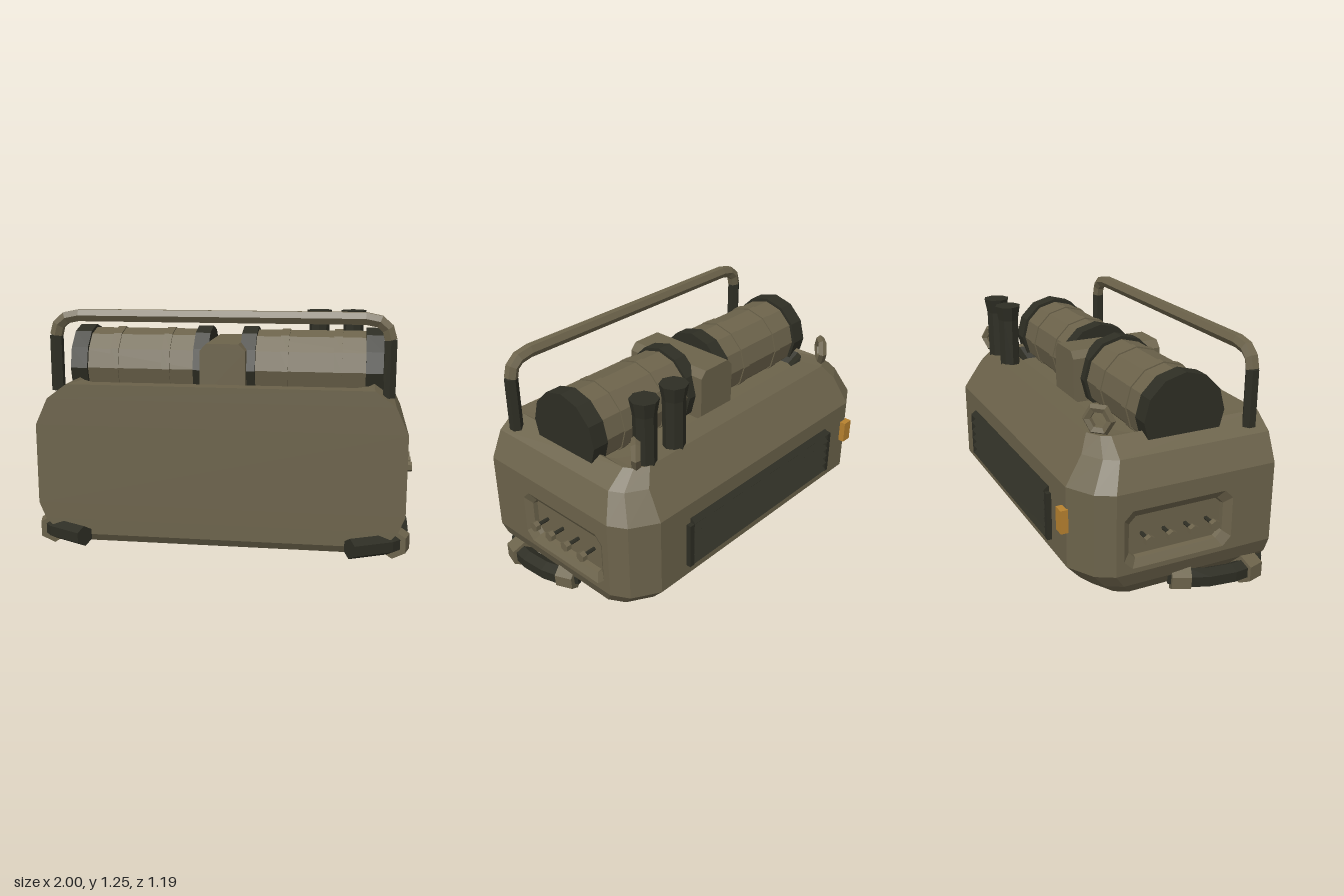
import * as THREE from 'three';

const paint = (name, color) => {
  const m = new THREE.MeshStandardMaterial({ color, flatShading: true });
  m.name = name;
  return m;
};
const V = (x, y, z) => new THREE.Vector3(x, y, z);

// Faceted skin over rings of equal point count; skip(i, j) leaves a quad open
function loft(rings, { start = true, end = true, skip = () => false } = {}) {
  const pos = [];
  const tri = (a, b, c) => {
    if (V().subVectors(b, a).cross(V().subVectors(c, a)).lengthSq() < 1e-14) return;
    for (const p of [a, b, c]) pos.push(p.x, p.y, p.z);
  };
  const n = rings[0].length, last = rings[rings.length - 1];
  for (let i = 0; i < rings.length - 1; i++) {
    for (let j = 0; j < n; j++) {
      if (skip(i, j)) continue;
      const k = (j + 1) % n, a = rings[i], b = rings[i + 1];
      tri(a[j], a[k], b[k]);
      tri(a[j], b[k], b[j]);
    }
  }
  for (let j = 1; j < n - 1; j++) {
    if (start) tri(rings[0][0], rings[0][j + 1], rings[0][j]);
    if (end) tri(last[0], last[j], last[j + 1]);
  }
  const g = new THREE.BufferGeometry();
  g.setAttribute('position', new THREE.Float32BufferAttribute(pos, 3));
  g.computeVertexNormals();
  return g;
}

// Rings of a pipe along points; ref sets where the first corner points
function pipe(points, r, ref, sides = 6) {
  return points.map((p, i) => {
    const t = V().subVectors(points[Math.min(i + 1, points.length - 1)], points[Math.max(i - 1, 0)]).normalize();
    const u = ref.clone().addScaledVector(t, -ref.dot(t)).normalize();
    const w = V().crossVectors(t, u);
    return Array.from({ length: sides }, (_, k) => {
      const a = (k / sides) * Math.PI * 2;
      return p.clone().addScaledVector(u, r * Math.cos(a)).addScaledVector(w, r * Math.sin(a));
    });
  });
}

const sided = (rings, s) => s > 0 ? rings : rings.map(r => r.map(p => V(-p.x, p.y, p.z)).reverse());

// Horizontal body outline: front corner cut fc, two-step rear corners of size k
function outline(y, hx, zf, zb, k = 1, fc = 0) {
  const half = [[hx - fc, zf], [hx, zf - fc], [hx, zb + 0.17 * k], [hx - 0.05 * k, zb + 0.08 * k], [hx - 0.185 * k, zb]];
  return [...half.map(([x, z]) => V(x, y, z)), ...half.reverse().map(([x, z]) => V(-x, y, z))];
}

// Upright octagon in the side wall
function octagon(x, z0, z1, y0, y1, c) {
  return [[z0, y0 + c], [z0, y1 - c], [z0 + c, y1], [z1 - c, y1], [z1, y1 - c], [z1, y0 + c], [z1 - c, y0], [z0 + c, y0]]
    .map(([z, y]) => V(x, y, z));
}

export function createModel() {
  const root = new THREE.Group();
  root.name = 'fieldPowerUnit';
  const olive = paint('olive drab', 0x6c634b);
  const dark = paint('dark metal', 0x2e2e24);
  const amber = paint('amber', 0xb8822f);
  const add = (name, geo, mat, x = 0, y = 0, z = 0) => {
    const m = new THREE.Mesh(geo, mat);
    m.name = name;
    m.position.set(x, y, z);
    root.add(m);
    return m;
  };

  // Chamfered housing with an open tank well on top
  const well = [outline(0.865, 0.765, 0.29, -0.29, 0.45, 0.07), outline(0.8, 0.72, 0.25, -0.25, 0.4, 0.06)];
  add('housing', loft([
    outline(0.035, 0.8, 0.43, -0.375, 0.7),
    outline(0.075, 0.845, 0.455, -0.415, 0.75),
    outline(0.155, 0.92, 0.455, -0.495, 0.9),
    outline(0.24, 0.955, 0.455, -0.57),
    outline(0.66, 0.955, 0.455, -0.57),
    outline(0.8, 0.89, 0.455, -0.48, 0.75),
    outline(0.877, 0.785, 0.455, -0.43, 0.5),
    well[0],
  ], { end: false, skip: (i, j) => i === 3 && (j === 1 || j === 7) }), olive);
  add('wellWall', loft(well, { start: false, end: false }), dark);
  add('wellFloor', loft([well[1], well[1]], { start: false }), olive);

  for (const s of [1, -1]) {
    const side = s > 0 ? 'left' : 'right';

    // Side wall with a bevelled control pocket
    add(side + 'ControlPocket', loft(sided([
      octagon(0.955, -0.4, 0.455, 0.24, 0.66, 0),
      octagon(0.955, -0.36, 0.225, 0.265, 0.565, 0.045),
      octagon(0.93, -0.325, 0.185, 0.305, 0.525, 0.035),
      octagon(0.905, -0.322, 0.182, 0.31, 0.52, 0.035),
    ], s), { start: false }), olive);

    // Row of hexagonal knobs on thin stems
    for (let i = 0; i < 4; i++) {
      const z = 0.105 - i * 0.117;
      add(side + 'Knob', new THREE.CylinderGeometry(0.027, 0.027, 0.028, 6).rotateZ(Math.PI / 2).rotateX(Math.PI / 2), olive, s * 0.986, 0.415, z);
      add(side + 'KnobStem', new THREE.CylinderGeometry(0.01, 0.01, 0.075, 6).rotateZ(Math.PI / 2), dark, s * 0.94, 0.415, z);
    }

    // Hose along the lower edge, held by two hexagonal clamps
    const up = V(0, 1, 0);
    const hose = [[0.68, 0.097, 0.552], [0.87, 0.085, 0.425], [0.92, 0.08, 0.36], [0.937, 0.085, 0.25], [0.938, 0.1, 0.1], [0.925, 0.118, 0], [0.87, 0.125, -0.07]];
    add(side + 'Hose', loft(sided(pipe(hose.map(p => V(...p)), 0.053, up), s)), dark);
    add(side + 'FrontClamp', loft(sided(pipe([V(0.897, 0.079, 0.4), V(0.922, 0.079, 0.315)], 0.079, up), s)), olive);
    add(side + 'RearClamp', loft(sided(pipe([V(0.928, 0.115, 0.015), V(0.895, 0.12, -0.075)], 0.062, up), s)), olive);

    // Tank: shell, two straps and dark end caps
    const drum = (name, x, r, w, mat) =>
      add(side + name, new THREE.CylinderGeometry(r, r, w, 12).rotateZ(Math.PI / 2), mat, s * x, 0.93, 0.015);
    drum('Tank', 0.455, 0.199, 0.66, olive);
    drum('TankStrap', 0.315, 0.206, 0.044, olive);
    drum('TankStrap', 0.595, 0.206, 0.044, olive);
    drum('TankInnerCap', 0.125, 0.216, 0.08, dark);
    drum('TankOuterCap', 0.785, 0.216, 0.09, dark);

    // Handle leg
    add(side + 'HandleLeg', loft(sided(pipe([V(0.855, 0.832, 0.36), V(0.855, 1.12, 0.36)], 0.035, V(0, 0, 1)), s)), dark);

    // Lifting ring, both turned the same way
    const ring = add(side + 'LiftingRing', new THREE.TorusGeometry(0.06, 0.023, 5, 6), olive, s * 0.737, 0.95, -0.385);
    ring.rotation.y = Math.PI / 4;

    // Exhaust stack with flared mouth
    const stack = [[0, 0.84], [0.056, 0.84], [0.058, 1.13], [0.072, 1.208], [0, 1.208]].map(p => new THREE.Vector2(...p));
    add('exhaustStack', new THREE.LatheGeometry(stack, 8), dark, 0.572 + s * 0.098, 0, -0.38);

    // Grille end bracket
    add(side + 'GrilleEnd', new THREE.BoxGeometry(0.03, 0.25, 0.03), dark, s * 0.577, 0.425, -0.58);
  }

  // Carrying handle
  const bend = [[0.855, 1.12], [0.84, 1.175], [0.8, 1.21], [0.73, 1.224]];
  const bar = [...bend, ...bend.slice().reverse().map(([x, y]) => [-x, y])];
  add('handleBar', loft(pipe(bar.map(([x, y]) => V(x, y, 0.36)), 0.035, V(0, 0, 1))), olive);

  // Saddle between the tanks
  const saddle = new THREE.Shape([[-0.12, 0.78], [0.12, 0.78], [0.12, 1.038], [0.085, 1.075], [-0.085, 1.075], [-0.12, 1.038]]
    .map(p => new THREE.Vector2(...p)));
  add('tankSaddle', new THREE.ExtrudeGeometry(saddle, { depth: 0.51, bevelEnabled: false }), olive, 0, 0, -0.24);

  // Rear louvre grille: sawtooth profile run across the back
  const teeth = [[0.56, 0.285], [0.56, 0.575]];
  for (let i = 0; i < 6; i++) {
    const y = 0.575 - i * 0.0483;
    teeth.push([0.578, y], [0.602, y - 0.02], [0.578, y - 0.045]);
  }
  const profile = new THREE.Shape(teeth.map(p => new THREE.Vector2(...p)));
  const louvres = new THREE.ExtrudeGeometry(profile, { depth: 1.13, bevelEnabled: false });
  add('grilleLouvres', louvres.rotateY(Math.PI / 2).rotateY(Math.PI).rotateY(-Math.PI / 2).rotateY(Math.PI / 2), dark, 0.565, 0, 0)
    .name = 'grilleLouvres';
  // Turn the profile so its teeth face backwards
  louvres.rotateY(-Math.PI / 2);
  louvres.rotateY(Math.PI);
  louvres.computeBoundingBox();
  louvres.center();
  louvres.rotateY(Math.PI / 2);
  const mesh = root.getObjectByName('grilleLouvres');
  orientTeeth(louvres);
  mesh.position.set(0, 0.43, -0.581);

  // Marker lamp
  add('markerLamp', new THREE.BoxGeometry(0.06, 0.12, 0.038), amber, -0.755, 0.49, -0.584);

  return root;
}

// Swings an extruded bar so its length lies on x and its taper points to -z
function orientTeeth(g) {
  const p = g.attributes.position;
  g.computeBoundingBox();
  const size = g.boundingBox.getSize(new THREE.Vector3());
  if (size.z > size.x) g.rotateY(Math.PI / 2);
  let front = 0, back = 0;
  g.computeBoundingBox();
  const { min, max } = g.boundingBox;
  for (let i = 0; i < p.count; i++) {
    if (p.getZ(i) < min.z + 1e-4) back++;
    if (p.getZ(i) > max.z - 1e-4) front++;
  }
  if (front > back) g.rotateY(Math.PI);
}
